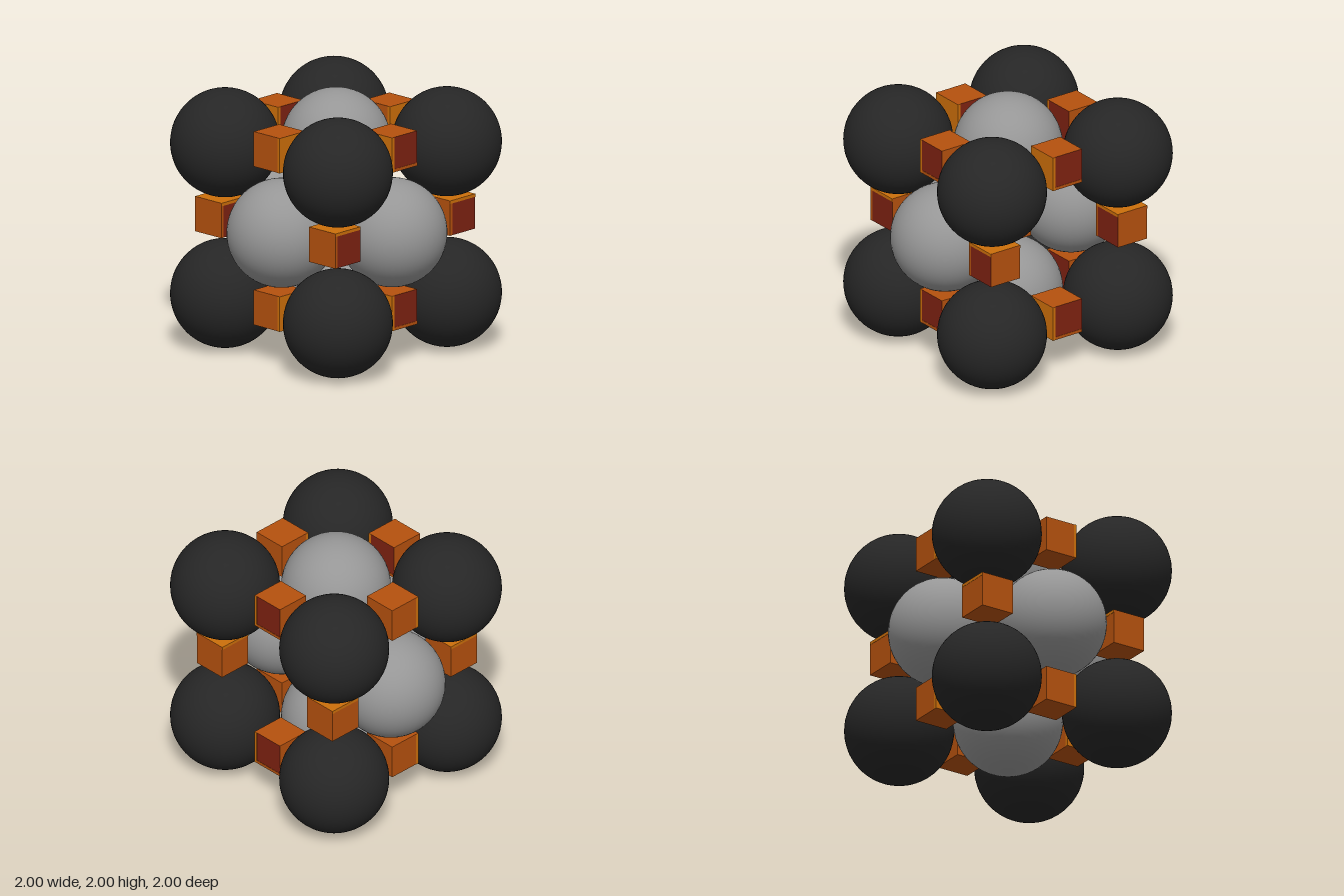
import * as THREE from 'three';

const mat = (name, color) => {
  const m = new THREE.MeshStandardMaterial({ color });
  m.name = name;
  return m;
};

export function createModel() {
  const model = new THREE.Group();
  const black = mat('black', 0x262626);
  const grey = mat('grey', 0x969696);
  const orange = mat('orange', 0xb5510e);
  const amber = mat('amber', 0xcc6f0a);
  const red = mat('dark red', 0x7e2211);

  // Atoms: black at the corners, grey at the face centres
  const R = 0.412, D = 0.587;
  const ball = new THREE.SphereGeometry(R, 48, 32);
  const addBall = (name, material, x, y, z) => {
    const m = new THREE.Mesh(ball, material);
    m.name = name;
    m.position.set(x, y, z);
    model.add(m);
  };
  const signs = [-1, 1];
  for (const x of signs) for (const y of signs) for (const z of signs)
    addBall('cornerSphere', black, x * D, 1 + y * D, z * D);
  // the +x face is left open
  for (const [x, y, z] of [[-1, 0, 0], [0, 1, 0], [0, -1, 0], [0, 0, 1], [0, 0, -1]])
    addBall('faceSphere', grey, x * D, 1 + y * D, z * D);

  // Small cubes in the gaps, with one red and one amber side
  const S = 0.272, T = 0.024, P = 0.004;
  const box = new THREE.BoxGeometry(S, S, S);
  const sides = [orange, amber, orange, orange, red, orange];
  const addCube = (name, pos, rot) => {
    const g = new THREE.Group();
    g.name = name;
    const body = new THREE.Mesh(box, sides);
    body.name = 'cubeBody';
    g.add(body);
    // thin edge strips
    const strip = (material, w, h, x, y, z) => {
      const m = new THREE.Mesh(new THREE.BoxGeometry(w, h, P), material);
      m.name = 'edgeStrip';
      m.position.set(x, y, z);
      g.add(m);
    };
    const e = S / 2 - T / 2;
    strip(amber, T, S, -e, 0, S / 2);
    strip(orange, S - T, T, T / 2, -e, S / 2);
    strip(amber, T, S, -e, 0, -S / 2);
    g.position.set(...pos);
    g.rotation.set(...rot);
    model.add(g);
  };
  const q = Math.PI / 2;
  for (const a of signs) for (const b of signs) {
    addCube('crossEdgeCube', [-0.003, 1.036 + a * 0.617, -0.013 + b * 0.593], [0, 0, 0]);
    addCube('uprightEdgeCube', [a * 0.617, 1.034, -0.009 + b * 0.593], [0, 0, -q]);
    addCube('depthEdgeCube', [-0.003 + a * 0.594, 1.036 + b * 0.617, -0.012], [0, q, 0]);
  }
  addCube('centreCube', [0, 1.005, 0.024], [Math.PI, -q, 0]);

  return model;
}
